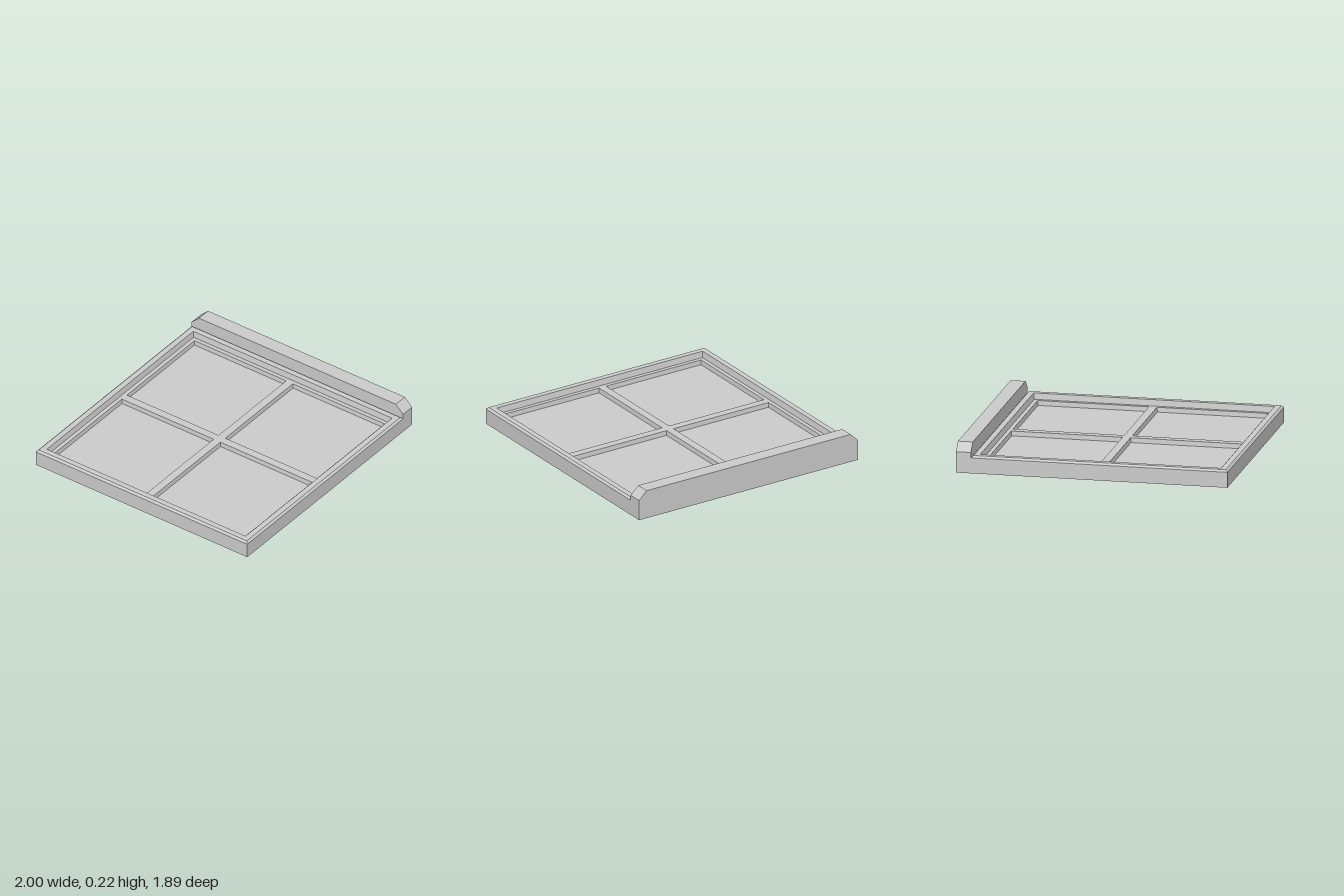
import * as THREE from 'three';

const HALF = 0.945;       // half side of the square frame
const CENTRE_X = -0.055;  // frame centre, the raised rail sits beside it
const RIM_Y = 0.13, GRID_Y = 0.085, PANE_Y = 0.05;
const PANE_HALF = 0.41, PANE_OFFSET = 0.44;

const solid = new THREE.MeshStandardMaterial({ color: 0xcccccc, flatShading: true });
const sheet = new THREE.MeshStandardMaterial({ color: 0xcccccc, flatShading: true, side: THREE.DoubleSide });

// Square ring swept from [half side, height] points
function squareSweep(profile) {
  const points = profile.map(([half, y]) => new THREE.Vector2(half * Math.SQRT2, y));
  const geometry = new THREE.LatheGeometry(points, 4, Math.PI / 4).toNonIndexed();
  geometry.computeVertexNormals();
  return geometry;
}

function squarePath(path, cx, cy, half) {
  path.moveTo(cx - half, cy - half);
  path.lineTo(cx + half, cy - half);
  path.lineTo(cx + half, cy + half);
  path.lineTo(cx - half, cy + half);
  path.closePath();
  return path;
}

export function createModel() {
  const model = new THREE.Group();
  const panel = new THREE.Group();
  panel.name = 'windowPanel';
  panel.position.x = CENTRE_X;
  model.add(panel);

  const add = (parent, name, geometry, material) => {
    const mesh = new THREE.Mesh(geometry, material);
    mesh.name = name;
    parent.add(mesh);
    return mesh;
  };

  // Outer frame: thin skirt, bevelled rim and inner step, open underneath
  add(panel, 'outerFrame', squareSweep([
    [HALF, 0], [HALF, 0.115], [0.93, RIM_Y], [0.888, RIM_Y], [0.88, GRID_Y],
  ]), sheet);

  // Cross-shaped glazing grid with four openings
  const gridShape = squarePath(new THREE.Shape(), 0, 0, 0.88);
  const centres = [];
  for (const sx of [-1, 1]) for (const sz of [-1, 1]) centres.push([sx * PANE_OFFSET, sz * PANE_OFFSET]);
  for (const [x, z] of centres) gridShape.holes.push(squarePath(new THREE.Path(), x, z, PANE_HALF));
  const grid = new THREE.ShapeGeometry(gridShape).rotateX(-Math.PI / 2);
  add(panel, 'glazingGrid', grid.translate(0, GRID_Y, 0), sheet);

  // Four sunken panes
  const paneGeometry = squareSweep([[PANE_HALF, GRID_Y], [PANE_HALF - 0.004, PANE_Y], [0, PANE_Y]]);
  for (const [x, z] of centres) add(panel, 'pane', paneGeometry, sheet).position.set(x, 0, z);

  // Raised side rail with chamfered ends
  const rail = new THREE.Shape();
  rail.moveTo(-HALF, 0);
  rail.lineTo(HALF, 0);
  rail.lineTo(HALF, 0.155);
  rail.lineTo(0.88, 0.217);
  rail.lineTo(-0.88, 0.217);
  rail.lineTo(-HALF, 0.155);
  rail.closePath();
  const railGeometry = new THREE.ExtrudeGeometry(rail, { depth: 0.11, bevelEnabled: false });
  railGeometry.rotateY(Math.PI / 2).translate(0.89, 0, 0);
  add(model, 'sideRail', railGeometry, solid);

  return model;
}
